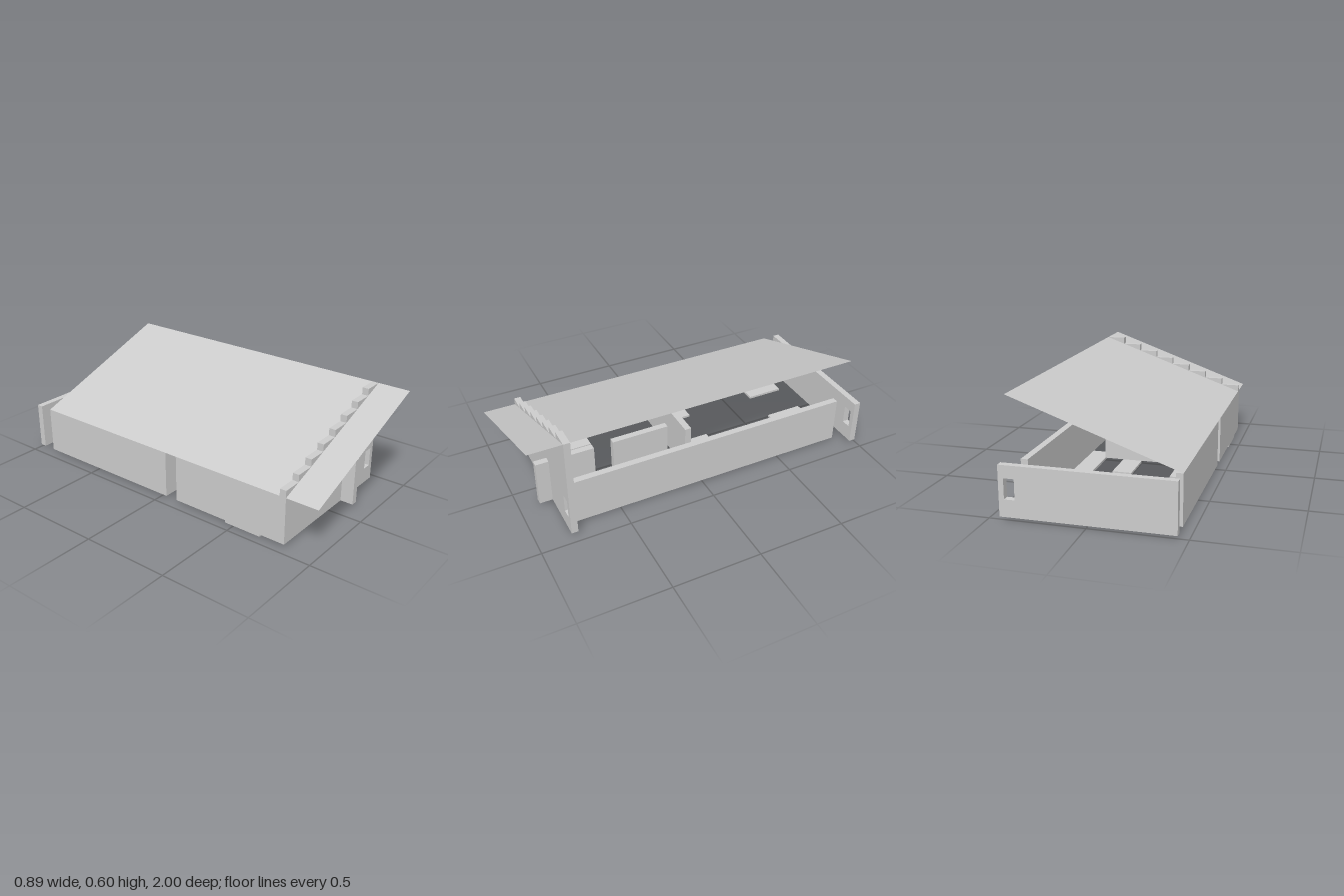
import * as THREE from 'three';

export function createModel() {
  const U = 1 / 9;          // one plan unit
  const T = U / 3;          // wall thickness
  const B = 0.0133;         // underside of the walls
  const H = 0.28;           // height of the plain walls
  const model = new THREE.Group();
  const mat = new THREE.MeshStandardMaterial({ color: 0xcccccc, flatShading: true });
  const roofMat = new THREE.MeshStandardMaterial({ color: 0xcccccc, flatShading: true, side: THREE.DoubleSide });

  const add = (name, geometry, material = mat) => {
    const mesh = new THREE.Mesh(geometry, material);
    mesh.name = name;
    model.add(mesh);
    return mesh;
  };
  // box between two corners
  const block = (name, x0, x1, y0, y1, z0, z1) =>
    add(name, new THREE.BoxGeometry(x1 - x0, y1 - y0, z1 - z0))
      .position.set((x0 + x1) / 2, (y0 + y1) / 2, (z0 + z1) / 2);
  const wall = (name, x0, x1, z0, z1) => block(name, x0, x1, B, H, z0, z1);

  // upright wall with a small window near its left end
  const windowWall = (name, outline, z) => {
    const shape = new THREE.Shape(outline.map(([x, y]) => new THREE.Vector2(x, y)));
    const [x0, x1, y0, y1] = [3.25 * U, 3.75 * U, 0.105, 0.213];
    shape.holes.push(new THREE.Path([
      new THREE.Vector2(x0, y0), new THREE.Vector2(x0, y1),
      new THREE.Vector2(x1, y1), new THREE.Vector2(x1, y0),
    ]));
    add(name, new THREE.ExtrudeGeometry(shape, { depth: T, bevelEnabled: false })).position.z = z;
  };

  // front wall, its top stepped up towards the left
  const stepped = [[-4 * U, B], [4 * U, B]];
  for (let i = 7; i >= 0; i--) {
    const top = 0.32 + 0.04 * i;
    stepped.push([(i - 3) * U, top], [(i - 4) * U, top]);
  }
  windowWall('steppedFrontWall', stepped, 7 * U);

  // back wall, standing free
  windowWall('backWall', [[-4 * U, B], [4 * U, B], [4 * U, H], [-4 * U, H]], -1);

  // long side walls
  wall('leftSideWall', 3 * U, 3 * U + T, -8 * U, 7 * U);
  wall('rightSideWallBack', -4 * U, -4 * U + T, -8 * U, 0);
  wall('rightSideWallFront', -4 * U, -4 * U + T, U, 7 * U);

  // inner walls with door gaps
  wall('crossWall', -4 * U, 2 * U, 0, T);
  wall('partitionFront', U, U + T, 5 * U, 8 * U);
  wall('partitionBack', U, U + T, U, 4 * U);

  // thin floor slabs: x0, x1, z0, z1 in plan units
  [
    [2, 3, -4, 1], [-4, -2, 4, 6],
    [0, 1, -2, 0], [-3, -2, -2, 0],
    [0, 1, -8, -6], [-3, -2, -8, -6],
  ].forEach(([x0, x1, z0, z1]) => block('floorSlab', x0 * U, x1 * U, 0, B, z0 * U, z1 * U));

  // sloping sheet roof
  const roof = new THREE.PlaneGeometry(8 * U, 17 * U);
  roof.rotateX(-Math.PI / 2);
  const p = roof.attributes.position;
  for (let i = 0; i < p.count; i++) p.setY(i, 0.44 + 0.36 * p.getX(i));
  roof.computeVertexNormals();
  add('roof', roof, roofMat).position.z = U / 2;

  return model;
}
